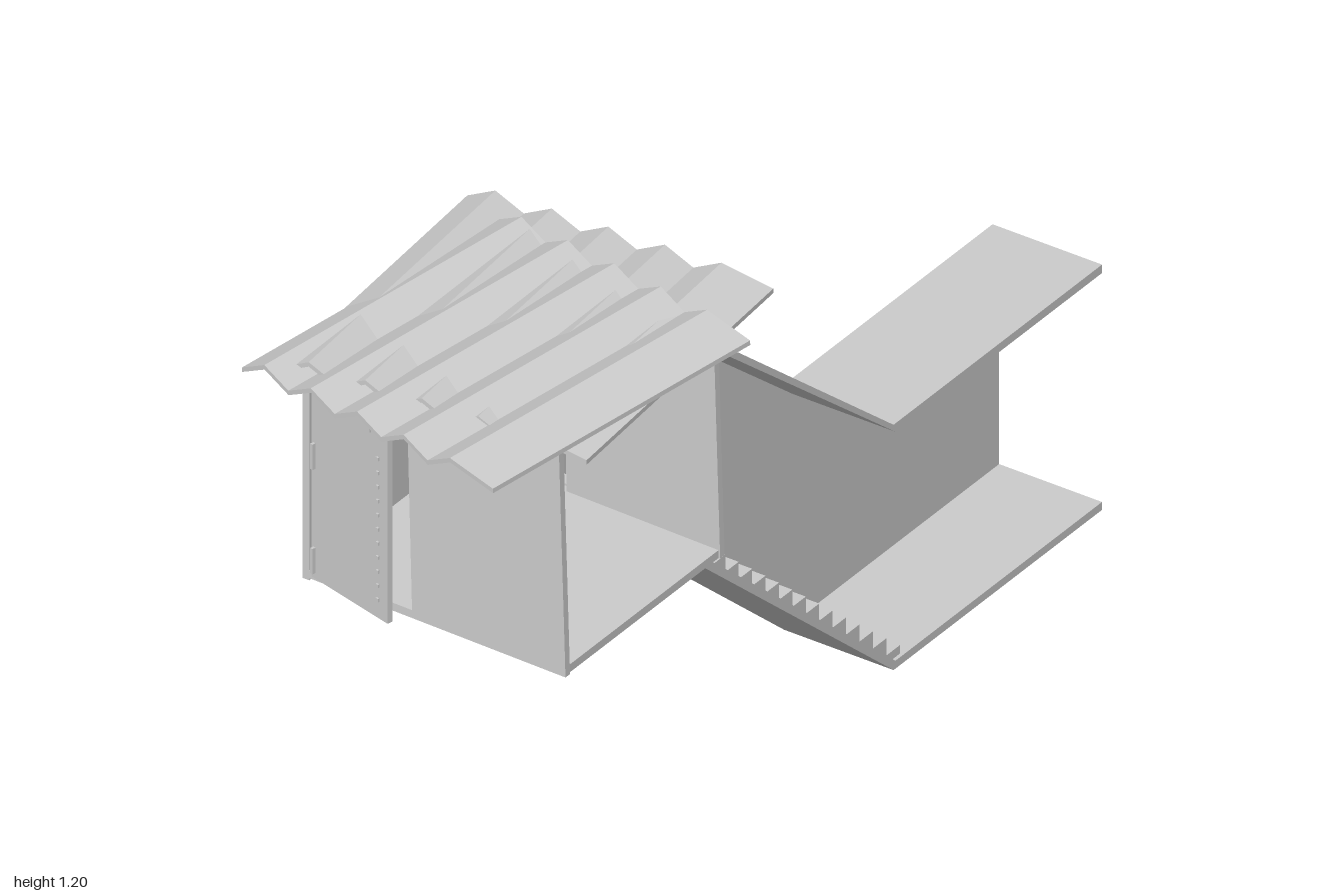
import * as THREE from 'three';

const material = new THREE.MeshStandardMaterial({ color: 0xcccccc, flatShading: true, side: THREE.DoubleSide });

function add(parent, name, geometry, x = 0, y = 0, z = 0) {
  const mesh = new THREE.Mesh(geometry, material);
  mesh.name = name;
  mesh.position.set(x, y, z);
  parent.add(mesh);
  return mesh;
}

const shapeOf = (points) => new THREE.Shape(points.map(([a, b]) => new THREE.Vector2(a, b)));

// Box given by its lower and upper corners
function block(parent, name, [x0, y0, z0], [x1, y1, z1]) {
  return add(parent, name, new THREE.BoxGeometry(x1 - x0, y1 - y0, z1 - z0),
    (x0 + x1) / 2, (y0 + y1) / 2, (z0 + z1) / 2);
}

// Side profile of [z, y] points, extruded across x
function acrossX(parent, name, points, x0, x1) {
  const g = new THREE.ExtrudeGeometry(shapeOf(points), { depth: x1 - x0, bevelEnabled: false });
  g.rotateY(-Math.PI / 2);
  return add(parent, name, g, x1, 0, 0);
}

// Front profile of [x, y] points, extruded along z
function alongZ(parent, name, points, z0, z1) {
  return add(parent, name, new THREE.ExtrudeGeometry(shapeOf(points), { depth: z1 - z0, bevelEnabled: false }), 0, 0, z0);
}

// Zigzag roofing sheet, centred on its own origin
function corrugatedSheet() {
  const top = [], length = 0.545, t = 0.008;
  for (let i = 0; i < 10; i++) top.push([-0.268 + i * 0.0495, i % 2 ? 0.025 : 0]);
  top.push([0.268, 0.008]);
  const under = top.map(([x, y]) => [x, y - t]).reverse();
  const g = new THREE.ExtrudeGeometry(shapeOf([...top, ...under]), { depth: length, bevelEnabled: false });
  return g.translate(0, 0, -length / 2);
}

export function createModel() {
  const model = new THREE.Group();
  const L = -0.255, M = -0.055, R = 0.222, T = 0.014;

  // Continuous closed side of shed and passage
  acrossX(model, 'sideWall', [
    [0.82, 0.748], [0.4, 0.748], [-0.45, 0], [-1, 0],
    [-1, 0.435], [-0.45, 0.435], [0.4, 1.14], [0.82, 1.14],
  ], L, L + 0.012);

  // Passage floor and ceiling
  acrossX(model, 'passageFloor', [
    [0.4, 0.748], [-0.45, 0], [-1, 0], [-1, T], [-0.455, T], [0.4, 0.766],
  ], L, M);
  acrossX(model, 'passageCeiling', [
    [0.4, 1.14], [-0.45, 0.435], [-1, 0.435], [-1, 0.42], [-0.455, 0.42], [0.4, 1.122],
  ], L, M);

  // Stairs following the sloping floor
  const stairs = [[0.4, 0.756]], steps = 24;
  const start = [0.375, 0.764], run = 0.85 / steps, rise = 0.735 / steps;
  stairs.push([0.4, start[1]]);
  for (let i = 0; i < steps; i++) {
    const z = start[0] - i * run, y = start[1] - i * rise;
    stairs.push([z, y], [z, y - rise]);
  }
  stairs.push([-0.475, start[1] - steps * rise], [-0.475, 0.01], [-0.45, 0.01]);
  acrossX(model, 'stairs', stairs, L + 0.012, M - 0.006);

  // Shed
  const shed = new THREE.Group();
  shed.name = 'shed';
  model.add(shed);
  alongZ(shed, 'shedFloor', [[L, 0.752], [R, 0.743], [R, 0.757], [L, 0.766]], 0.4, 0.82);
  block(shed, 'shedCeiling', [L, 1.126, 0.4], [0.213, 1.138, 0.82]);
  const panel = [[M, 0.75], [0.225, 0.743], [0.213, 1.14], [-0.065, 1.14]];
  alongZ(shed, 'frontWall', panel, 0.808, 0.82);
  alongZ(shed, 'backWall', panel, 0.4, 0.412);

  // Door, slightly ajar, hinged by the side wall
  const door = new THREE.Group();
  door.name = 'door';
  door.position.set(-0.237, 0.758, 0.82);
  door.rotation.y = -0.26;
  model.add(door);
  block(door, 'doorPanel', [0, 0, -0.008], [0.176, 0.368, 0.002]);
  const plate = block(door, 'doorPlate', [0.033, 0.323, 0.002], [0.138, 0.355, 0.005]);
  plate.rotation.z = -0.03;
  for (const y of [0.01, 0.195]) block(door, 'hinge', [0.004, y, 0.002], [0.009, y + 0.045, 0.008]);
  for (let i = 0; i < 11; i++) {
    const y = 0.03 + i * 0.025;
    block(door, 'stud', [0.152, y, 0.002], [0.157, y + 0.006, 0.005]);
  }

  // Two overlapping roof sheets laid askew
  const sheet = corrugatedSheet();
  const lower = add(model, 'lowerRoofSheet', sheet, -0.013, 1.149, 0.578);
  lower.rotation.set(0.02, 0.065, 0, 'YXZ');
  const upper = add(model, 'upperRoofSheet', sheet, 0, 1.159, 0.678);
  upper.rotation.set(0.04, -0.183, 0.03, 'YXZ');

  return model;
}
